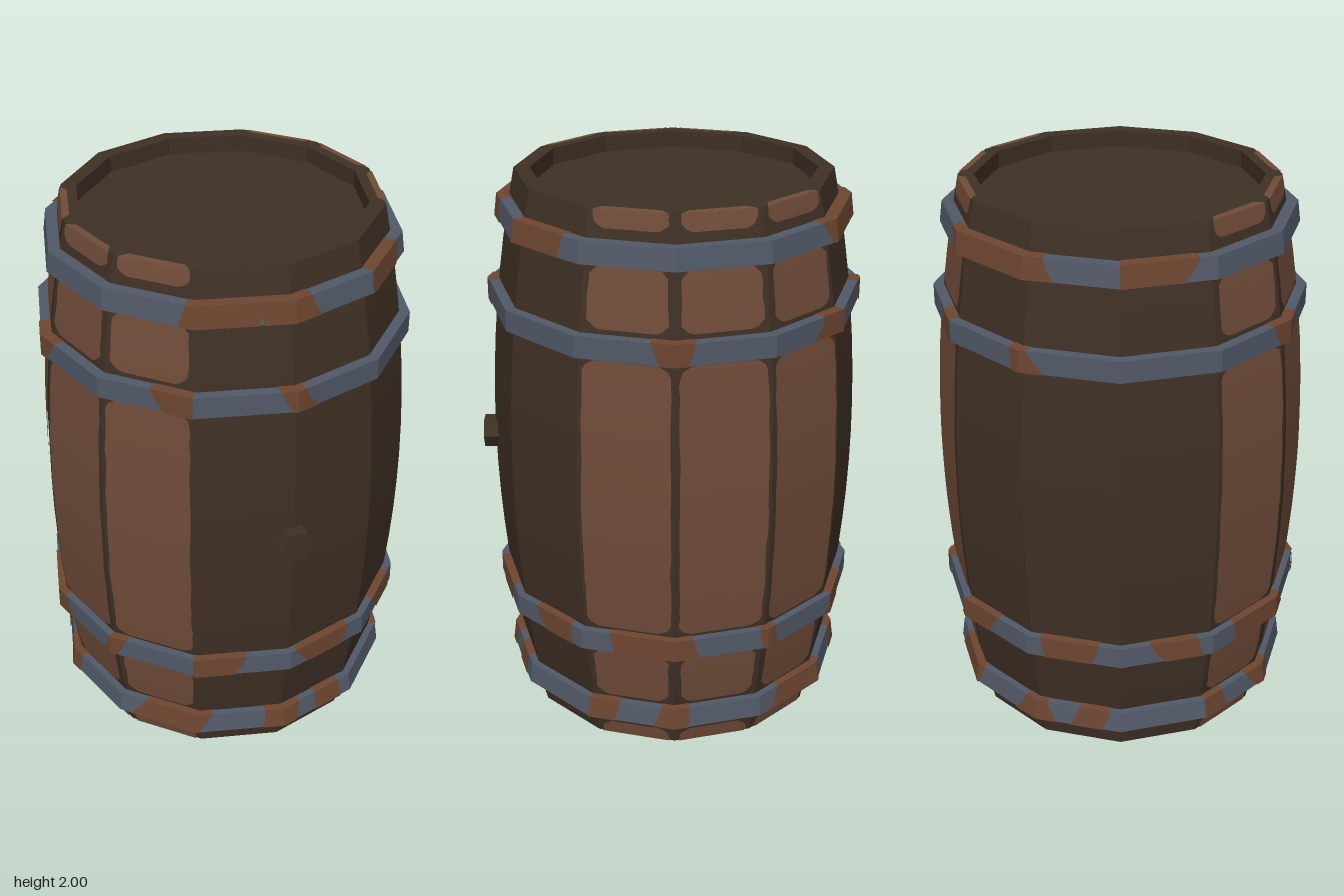
import * as THREE from 'three';

const SIDES = 12;
const mat = (name, color) => {
  const m = new THREE.MeshStandardMaterial({ color, flatShading: true });
  m.name = name;
  return m;
};

// Bulging stave radius at a height
const bulge = y => 0.66 - 0.105 * (y - 1) ** 2;

// Point on facet k; t runs 0..1 across the facet, r is the corner radius
function facetPoint(k, t, r, y) {
  const a = k * Math.PI * 2 / SIDES, b = (k + 1) * Math.PI * 2 / SIDES;
  return [
    r * THREE.MathUtils.lerp(Math.sin(a), Math.sin(b), t), y,
    r * THREE.MathUtils.lerp(Math.cos(a), Math.cos(b), t),
  ];
}

// Thin skin on one facet from rows of [t0, t1, radius, y], bottom to top
function facetSkin(k, rows) {
  const pos = [], index = [];
  rows.forEach(([t0, t1, r, y], i) => {
    pos.push(...facetPoint(k, t0, r, y), ...facetPoint(k, t1, r, y));
    if (i) {
      const a = 2 * i - 2;
      index.push(a, a + 1, a + 3, a, a + 3, a + 2);
    }
  });
  const g = new THREE.BufferGeometry();
  g.setAttribute('position', new THREE.Float32BufferAttribute(pos, 3));
  g.setIndex(index);
  g.computeVertexNormals();
  return g;
}

export function createModel() {
  const darkWood = mat('dark wood', 0x3f3025);
  const wornWood = mat('worn wood', 0x704c39);
  const steel = mat('steel', 0x525a68);
  const rust = mat('rust', 0x6e4630);

  const model = new THREE.Group();
  model.name = 'barrel';
  const body = new THREE.Group();
  body.name = 'body';
  body.position.z = -0.02;
  model.add(body);
  const add = (name, geometry, material) => {
    const m = new THREE.Mesh(geometry, material);
    m.name = name;
    body.add(m);
    return m;
  };
  const lathe = pts => new THREE.LatheGeometry(pts.map(p => new THREE.Vector2(...p)), SIDES);

  let seed = 7;
  const rand = () => (seed = (seed * 16807) % 2147483647) / 2147483647;

  // Staves with recessed lids at both ends
  const profile = [[0, 0.06], [0.5, 0.06], [0.5, 0]];
  for (let i = 0; i <= 16; i++) profile.push([bulge(i / 8), i / 8]);
  profile.push([0.5, 2], [0.5, 1.94], [0, 1.94]);
  add('staves', lathe(profile), darkWood);

  // Worn patches with ragged, rounded outlines on six of the staves
  const spans = [[0, 0.055], [0.19, 0.4], [0.5, 1.51], [1.615, 1.825], [1.94, 2]];
  for (const k of [2, 3, 4, 8, 9, 10]) {
    spans.forEach(([y0, y1], s) => {
      const n = s === 2 ? 24 : 8, rows = [];
      for (let i = 0; i <= n; i++) {
        // cosine spacing puts more rows at the rounded corners
        const y = y0 + (y1 - y0) * (1 - Math.cos(Math.PI * i / n)) / 2;
        const toEnd = Math.min(s === 0 ? 1 : y - y0, s === 4 ? 1 : y1 - y);
        const corner = 0.13 * Math.max(0, 1 - toEnd / 0.03) ** 2;
        const side = s === 2 ? 0.035 : 0.06;
        rows.push([side + corner + 0.02 * rand(), 1 - side - corner - 0.02 * rand(), bulge(y) + 0.005, y]);
      }
      if (s === 4) rows.push([0.15, 0.85, 0.535, 2.002]);
      add('wornPatch', facetSkin(k, rows), wornWood);
    });
  }

  // Hoops: bottom height, top height, bottom radius, top radius, and
  // rust spots as [start, end] in degrees round from the front
  const hoops = [
    [0.1, 0.175, 0.625, 0.615, [[-42, -28], [-7, 6], [14, 25], [60, 70], [84, 95], [127, 146]]],
    [0.41, 0.487, 0.66, 0.66, [[-31, -16], [5, 22], [42, 56], [70, 97], [118, 124]]],
    [1.52, 1.597, 0.66, 0.66, [[-40, -30], [-3, 5], [84, 95], [139, 147]]],
    [1.83, 1.905, 0.625, 0.615, [[-32, -22], [-10, 8], [30, 52], [146, 170]]],
  ];
  for (const [y0, y1, r0, r1, spots] of hoops) {
    const i0 = bulge(y0) - 0.01, i1 = bulge(y1) - 0.01;
    add('hoop', lathe([[i0, y0], [r0, y0], [r1, y1], [i1, y1]]), steel);

    for (const [start, end] of spots) for (const turn of [0, 180]) {
      const u0 = (start + turn + 360) / 30, u1 = (end + turn + 360) / 30;
      const lean0 = (rand() - 0.5) * 0.2, lean1 = (rand() - 0.5) * 0.2;
      // split each spot where it crosses a corner
      for (let k = Math.floor(u0); k < u1; k++) {
        const a = Math.max(u0 - k, 0), b = Math.min(u1 - k, 1);
        const row = (f, r, y) => [
          a > 0 ? THREE.MathUtils.clamp(a + lean0 * f, 0, b) : 0,
          b < 1 ? THREE.MathUtils.clamp(b + lean1 * f, a, 1) : 1, r, y];
        add('rustSpot', facetSkin(k, [
          row(-1, r0 + 0.004, y0), row(0.2, (r0 + r1) / 2 + 0.004, (y0 + y1) / 2),
          row(1, r1 + 0.004, y1 + 0.003), row(1, bulge(y1), y1 + 0.003),
        ]), rust);
      }
    }
  }

  // Hexagonal bung at the front
  const bungGeometry = new THREE.CylinderGeometry(0.06, 0.06, 0.1, 6);
  bungGeometry.rotateY(Math.PI / 2).rotateX(Math.PI / 2);
  add('bung', bungGeometry, darkWood).position.set(0, 1, 0.65);

  return model;
}
